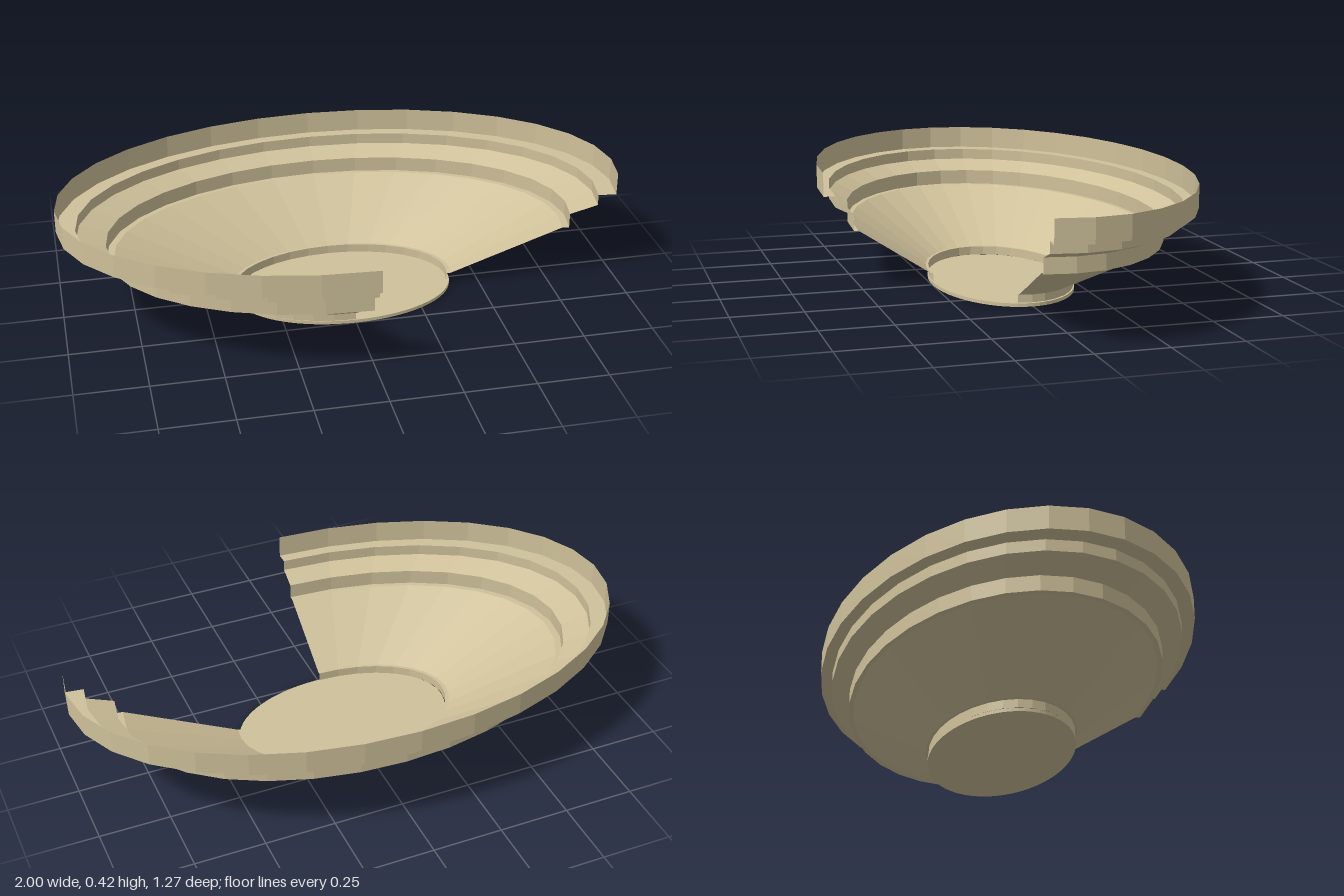
import * as THREE from 'three';

const DEPTH = 0.633;      // oval: depth relative to width
const SEGMENT = Math.PI / 16;

export function createModel() {
  const model = new THREE.Group();
  model.name = 'ovalSteppedDish';
  const material = new THREE.MeshStandardMaterial({
    color: 0xcfc19a, flatShading: true, side: THREE.DoubleSide,
  });

  // Open oval shell: seven of 32 segments are left out at the front left
  const addShell = (name, profile) => {
    const points = profile.map(([r, y]) => new THREE.Vector2(r, y));
    const geometry = new THREE.LatheGeometry(points, 25, 7 * SEGMENT, 25 * SEGMENT);
    geometry.scale(1, 1, DEPTH);
    const mesh = new THREE.Mesh(geometry, material);
    mesh.name = name;
    model.add(mesh);
  };

  addShell('footWall', [[0.388, 0.012], [0.388, 0.043], [0.402, 0.043]]);
  addShell('slopedBowl', [[0.402, 0.043], [0.81, 0.212]]);
  addShell('lowerStep', [[0.81, 0.212], [0.835, 0.212], [0.835, 0.266]]);
  addShell('middleStep', [[0.835, 0.266], [0.935, 0.298], [0.935, 0.338]]);
  addShell('rim', [[0.935, 0.338], [1, 0.338], [1, 0.42]]);

  // Full oval floor plate
  const floor = new THREE.CylinderGeometry(0.392, 0.392, 0.012, 64);
  floor.scale(1, 1, DEPTH);
  const plate = new THREE.Mesh(floor, material);
  plate.name = 'floorPlate';
  plate.position.set(0.006, 0.006, 0.001);
  model.add(plate);

  return model;
}
